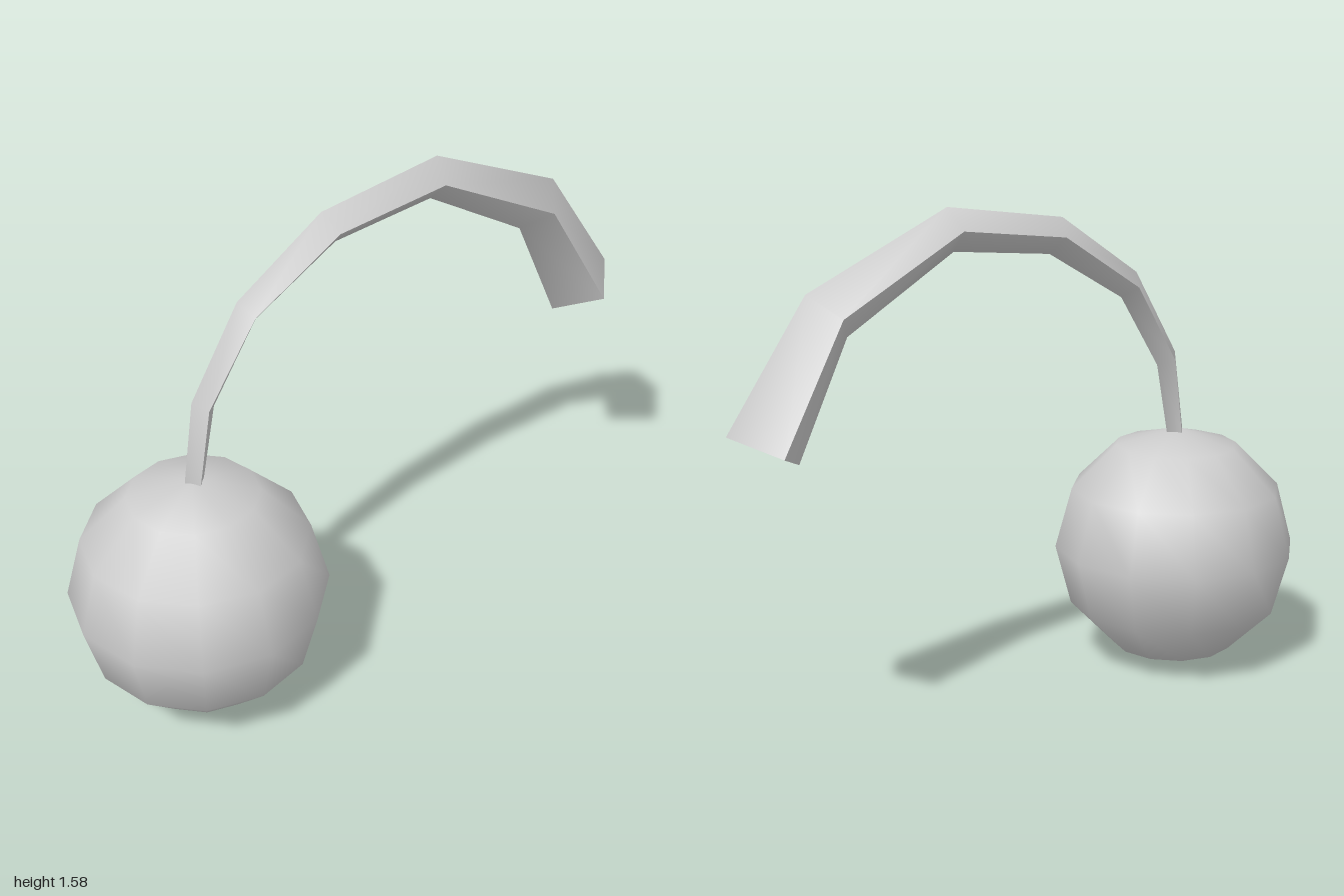
import * as THREE from 'three';

// Stem rings from berry to tip: [topZ, topY, sideZ, sideY, bottomZ, bottomY, halfWidth]
const RINGS = [
  [0.63, 0.785, 0.597, 0.785, 0.564, 0.785, 0.036],
  [0.59, 1.052, 0.558, 1.032, 0.517, 1.015, 0.042],
  [0.425, 1.325, 0.398, 1.284, 0.366, 1.25, 0.049],
  [0.135, 1.518, 0.109, 1.464, 0.087, 1.41, 0.057],
  [-0.277, 1.576, -0.261, 1.511, -0.256, 1.445, 0.065],
  [-0.743, 1.367, -0.675, 1.303, -0.615, 1.234, 0.09],
  [-1.0, 1.0, -0.888, 0.945, -0.78, 0.887, 0.124],
];

// One half of the diamond tube, smooth across its ridge and sharp at the sides
function halfStem(upper) {
  const positions = [], index = [];
  const s = upper ? 1 : -1;
  RINGS.forEach(([tz, ty, sz, sy, bz, by, w], i) => {
    positions.push(s * w, sy, sz);
    positions.push(0, upper ? ty : by, upper ? tz : bz);
    positions.push(-s * w, sy, sz);
    if (i === RINGS.length - 1) return;
    for (let j = 0; j < 2; j++) {
      const a = i * 3 + j;
      index.push(a, a + 3, a + 4, a, a + 4, a + 1);
    }
  });
  const g = new THREE.BufferGeometry();
  g.setAttribute('position', new THREE.Float32BufferAttribute(positions, 3));
  g.setIndex(index);
  g.computeVertexNormals();
  return g;
}

export function createModel() {
  const model = new THREE.Group();
  model.name = 'berryOnStem';
  const grey = new THREE.MeshStandardMaterial({ color: 0xcccccc, side: THREE.DoubleSide });
  grey.name = 'light grey';

  // Round berry
  const berry = new THREE.Mesh(new THREE.SphereGeometry(0.397, 12, 6), grey);
  berry.name = 'berry';
  berry.position.set(0, 0.398, 0.604);
  model.add(berry);

  // Arched hollow stem, open at the flared tip
  const stem = new THREE.Group();
  stem.name = 'stem';
  for (const upper of [true, false]) {
    const half = new THREE.Mesh(halfStem(upper), grey);
    half.name = upper ? 'stemUpper' : 'stemLower';
    stem.add(half);
  }
  model.add(stem);
  return model;
}
